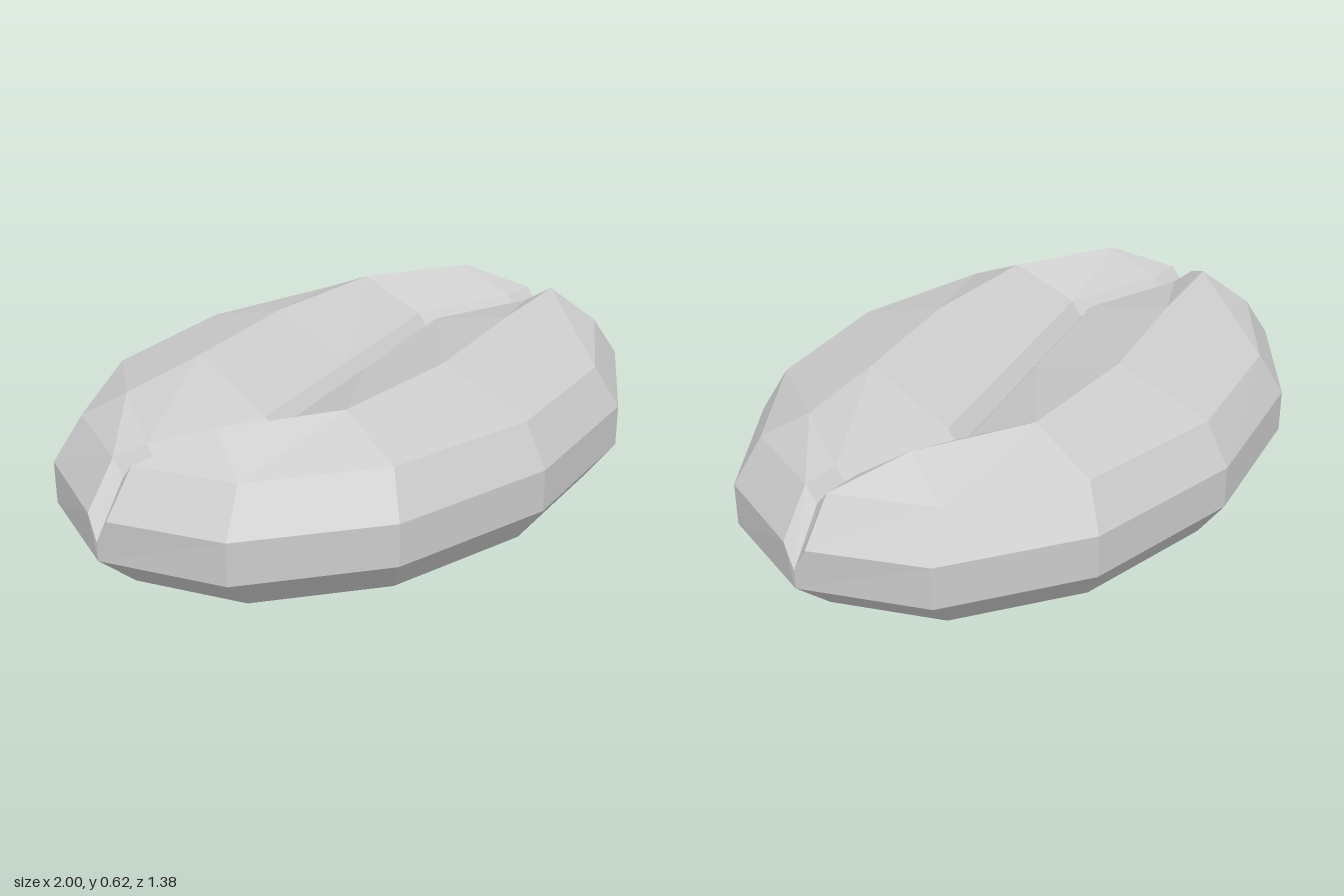
import * as THREE from 'three';

const MIRROR_X = ([x, y, z]) => [-x, y, z];

// Half a ring: seven points from +x round the front to -x
function halfRing(rx, rz, y) {
  return Array.from({ length: 7 }, (_, i) => {
    const a = (i * Math.PI) / 6;
    return [rx * Math.cos(a), y, rz * Math.sin(a)];
  });
}

// Rings that open at the ends to leave room for the groove
function splitRing(rx, rz, y, endX, gap) {
  const ring = halfRing(rx, rz, y);
  ring[0] = [endX, y, gap];
  ring[6] = [-endX, y, gap];
  return ring;
}

function triangleGeometry(triangles) {
  const geometry = new THREE.BufferGeometry();
  geometry.setAttribute('position', new THREE.Float32BufferAttribute(triangles.flat(2), 3));
  geometry.computeVertexNormals();
  return geometry;
}

// Faces between successive rows, skipping those collapsed to a line
function loft(rows) {
  const triangles = [];
  const add = (...points) => {
    const t = new THREE.Triangle(...points.map((p) => new THREE.Vector3(...p)));
    if (t.getArea() > 1e-6) triangles.push(points);
  };
  for (let r = 0; r < rows.length - 1; r++) {
    for (let i = 0; i < 6; i++) {
      const a = rows[r][i], b = rows[r][i + 1];
      const d = rows[r + 1][i], c = rows[r + 1][i + 1];
      add(b, a, d);
      add(b, d, c);
    }
  }
  return triangles;
}

export function createModel() {
  const group = new THREE.Group();
  group.name = 'bean';
  const material = new THREE.MeshStandardMaterial({ color: 0xcccccc, flatShading: true });
  const gap = 0.037, lipY = 0.53, floorY = 0.485;

  // Rounded underside and side band
  const equator = splitRing(1, 0.69, 0.405, 0.993, gap);
  const shell = [
    halfRing(0, 0, 0),
    halfRing(0.335, 0.235, 0),
    halfRing(0.61, 0.42, 0.06),
    halfRing(0.88, 0.61, 0.17),
    halfRing(1, 0.69, 0.28),
    equator,
  ];

  // Shoulder, crest and the winding groove lip and floor
  const shoulder = splitRing(0.907, 0.62, lipY, 0.9, gap);
  const row = (y, middle) => [shoulder[0], ...middle.map(([x, z]) => [x, y, z]), shoulder[6]];
  const crest = row(0.62, [[0.73, 0.175], [0.42, 0.23], [0, 0.325], [-0.42, 0.34], [-0.73, 0.175]]);
  const wave = [[0.785, 0], [0.455, -0.108], [0, 0], [-0.455, 0.108], [-0.785, 0]];
  const lip = row(lipY, wave.map(([x, z]) => [x, z + gap]));
  const floor = [[0.9, 0], ...wave, [-0.9, 0]].map(([x, z]) => [x, floorY, z]);
  const top = [equator, shoulder, crest, lip, floor];

  // Notch where the groove runs out over each end
  const A = equator[0], B = shoulder[0], C = floor[0];
  const D = [1, 0.335, 0], E = [1, 0.28, 0];
  const notch = [[D, C, B], [D, B, A], [E, D, A]];
  const mirrored = notch.map((t) => t.map(MIRROR_X).reverse());

  const parts = {
    Shell: triangleGeometry(loft(shell)),
    Top: triangleGeometry(loft(top)),
    Notches: triangleGeometry([...notch, ...mirrored]),
  };

  // The back half is the front half turned half a circle
  ['front', 'back'].forEach((side, k) => {
    const half = new THREE.Group();
    half.name = `${side}Half`;
    half.rotation.y = k * Math.PI;
    for (const [part, geometry] of Object.entries(parts)) {
      const mesh = new THREE.Mesh(geometry, material);
      mesh.name = side + part;
      half.add(mesh);
    }
    group.add(half);
  });
  return group;
}
